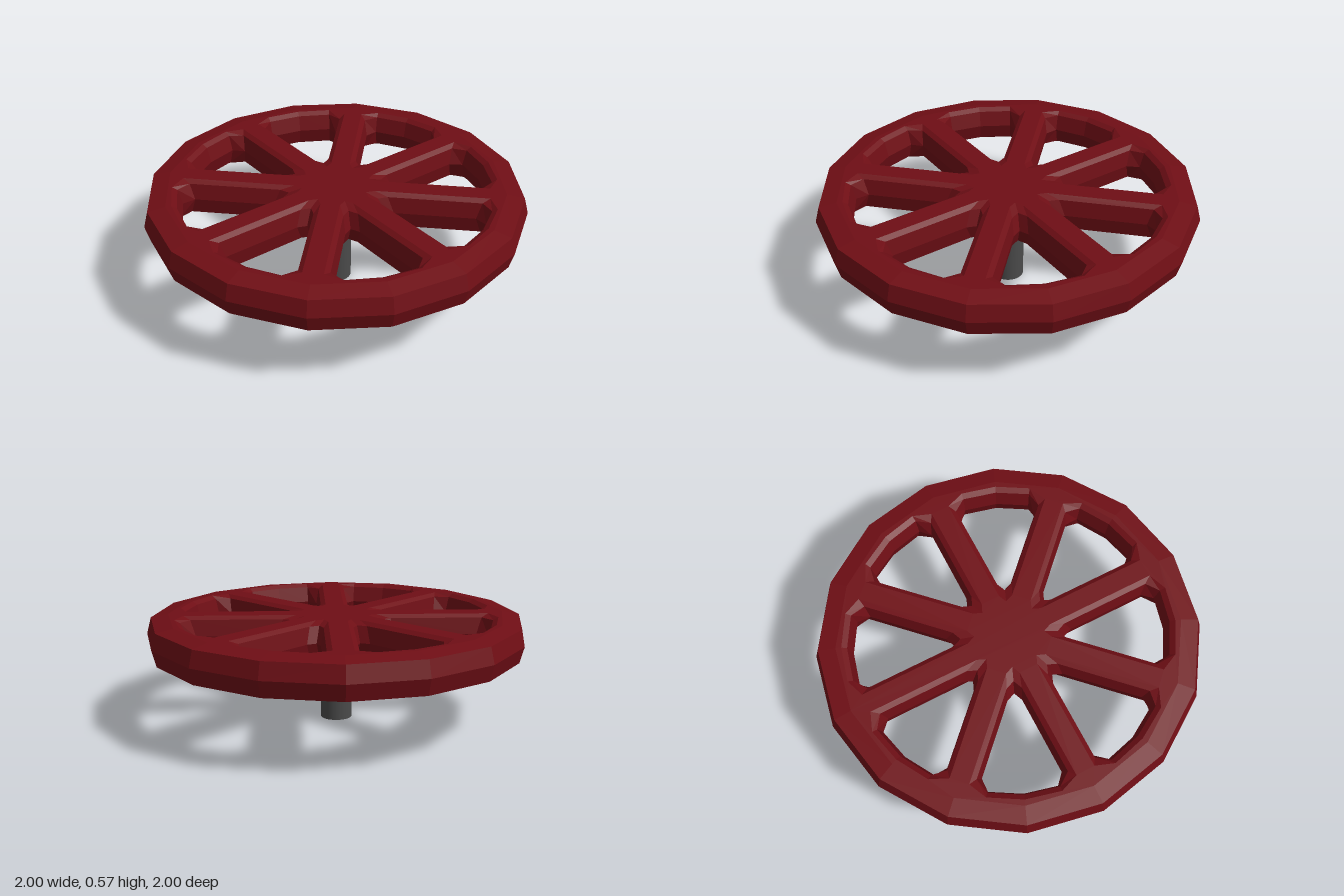
import * as THREE from 'three';

const SPOKES = 8;
const STEP = (Math.PI * 2) / SPOKES;
const MID_Y = 0.47;

// Cross-section levels of the wheel, from its middle plane to its flat face
const LEVELS = [
  { h: 0, outer: 1.0, half: 0.09, hub: 0.288, start: 0.315, end: 0.735, rim: 0.806 },
  { h: 0.085, outer: 0.977, half: 0.075, hub: 0.25, start: 0.28, end: 0.762, rim: 0.828 },
  { h: 0.102, outer: 0.885, half: 0.05, hub: 0.18, start: 0.21, end: 0.8, rim: 0.855 },
];

const polar = (r, a) => new THREE.Vector2(r * Math.cos(a), r * Math.sin(a));

// Sixteen-sided outer edge
const outerOutline = (l) =>
  Array.from({ length: SPOKES * 2 }, (_, i) => polar(l.outer, (i * STEP) / 2));

// Opening between spoke i and the next one
function holeOutline(l, i) {
  const corner = THREE.MathUtils.degToRad(10);
  const points = [
    polar(l.hub, STEP / 2),
    new THREE.Vector2(l.start, l.half),
    new THREE.Vector2(l.end, l.half),
    polar(l.rim * 0.993, corner),
    polar(l.rim, STEP / 2),
    polar(l.rim * 0.993, STEP - corner),
    new THREE.Vector2(l.end, -l.half).rotateAround(new THREE.Vector2(), STEP),
    new THREE.Vector2(l.start, -l.half).rotateAround(new THREE.Vector2(), STEP),
  ];
  return points.map((p) => p.rotateAround(new THREE.Vector2(), i * STEP));
}

function wheelGeometry() {
  const positions = [];
  const triangle = (a, b, c, flip) => {
    for (const p of flip ? [a, c, b] : [a, b, c]) positions.push(...p);
  };
  const outlines = LEVELS.map((l) => [
    outerOutline(l),
    ...Array.from({ length: SPOKES }, (_, i) => holeOutline(l, i)),
  ]);

  for (const side of [1, -1]) {
    const lift = (p, k) => [p.x, MID_Y + side * LEVELS[k].h, p.y];

    // Bevelled walls of the outer edge and of every opening
    for (let k = 0; k < LEVELS.length - 1; k++) {
      outlines[k].forEach((low, n) => {
        const high = outlines[k + 1][n];
        const flip = (n > 0) !== (side < 0);
        low.forEach((p, i) => {
          const j = (i + 1) % low.length;
          triangle(lift(p, k), lift(high[i], k + 1), lift(low[j], k), flip);
          triangle(lift(low[j], k), lift(high[i], k + 1), lift(high[j], k + 1), flip);
        });
      });
    }

    // Flat face joining hub, spokes and rim
    const last = LEVELS.length - 1;
    const [contour, ...holes] = outlines[last];
    const all = [contour, ...holes].flat();
    for (const [a, b, c] of THREE.ShapeUtils.triangulateShape(contour, holes)) {
      triangle(lift(all[a], last), lift(all[b], last), lift(all[c], last), side > 0);
    }
  }

  const geometry = new THREE.BufferGeometry();
  geometry.setAttribute('position', new THREE.Float32BufferAttribute(positions, 3));
  geometry.computeVertexNormals();
  return geometry;
}

export function createModel() {
  const model = new THREE.Group();
  model.name = 'valveHandle';

  // Spoked wheel
  const wheel = new THREE.Mesh(
    wheelGeometry(),
    new THREE.MeshStandardMaterial({ color: 0x6f0e15, flatShading: true })
  );
  wheel.name = 'spokedWheel';
  model.add(wheel);

  // Stem below the hub
  const stemHeight = 0.42;
  const stem = new THREE.Mesh(
    new THREE.CylinderGeometry(0.084, 0.084, stemHeight, 32),
    new THREE.MeshStandardMaterial({ color: 0x4a4a4a })
  );
  stem.name = 'stem';
  stem.position.y = stemHeight / 2;
  model.add(stem);

  return model;
}
